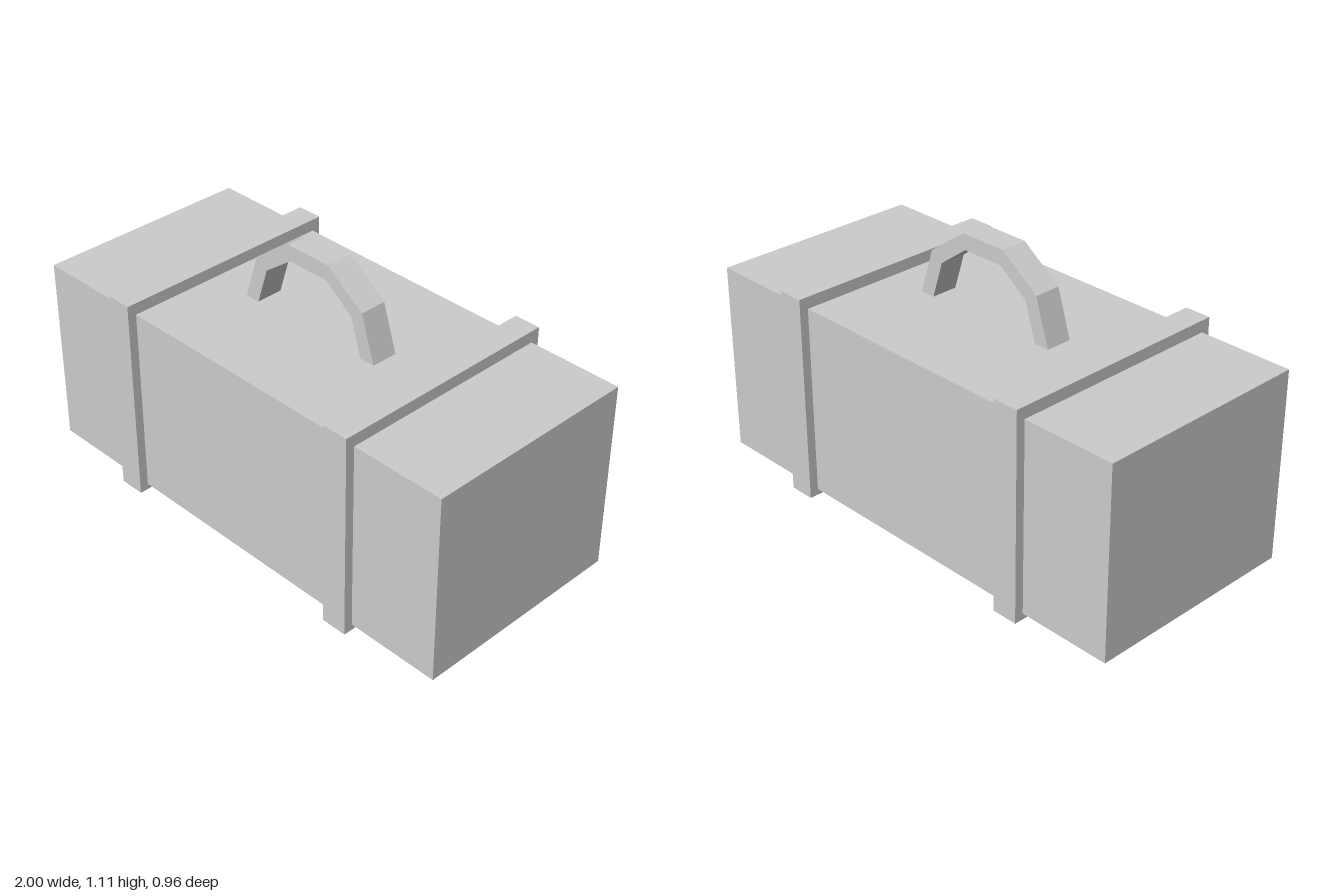
import * as THREE from 'three';

export function createModel() {
  const model = new THREE.Group();
  const material = new THREE.MeshStandardMaterial({ color: 0xcccccc, flatShading: true });

  function add(name, geometry, x, y, z) {
    const mesh = new THREE.Mesh(geometry, material);
    mesh.name = name;
    mesh.position.set(x, y, z);
    model.add(mesh);
  }

  // Case body: two halves meeting at a centre seam
  const bottom = 0.025, top = 0.8, halfDepth = 0.445;
  for (const [name, side] of [['frontHalf', 1], ['backHalf', -1]]) {
    add(name, new THREE.BoxGeometry(2, top - bottom, halfDepth),
      0, (top + bottom) / 2, side * halfDepth / 2);
  }

  // Straps wrapped around the body
  for (const [name, side] of [['leftStrap', 1], ['rightStrap', -1]]) {
    add(name, new THREE.BoxGeometry(0.107, 0.848, 0.963), side * 0.56, 0.424, 0);
  }

  // Faceted carrying handle: half profile mirrored, then extruded
  const outer = [[0.328, 0.8], [0.268, 0.988], [0.1, 1.108]];
  const inner = [[0.264, 0.8], [0.216, 0.952], [0.09, 1.045]];
  const mirror = (points) => points.map(([x, y]) => [-x, y]).reverse();
  const outline = [...outer, ...mirror(outer), ...mirror(mirror(mirror(inner))).reverse(), ...inner.slice().reverse()];
  const shape = new THREE.Shape(outline.map(([x, y]) => new THREE.Vector2(x, y)));
  const depth = 0.11;
  add('handle', new THREE.ExtrudeGeometry(shape, { depth, bevelEnabled: false }),
    0, 0, 0.009 - depth / 2);

  return model;
}
